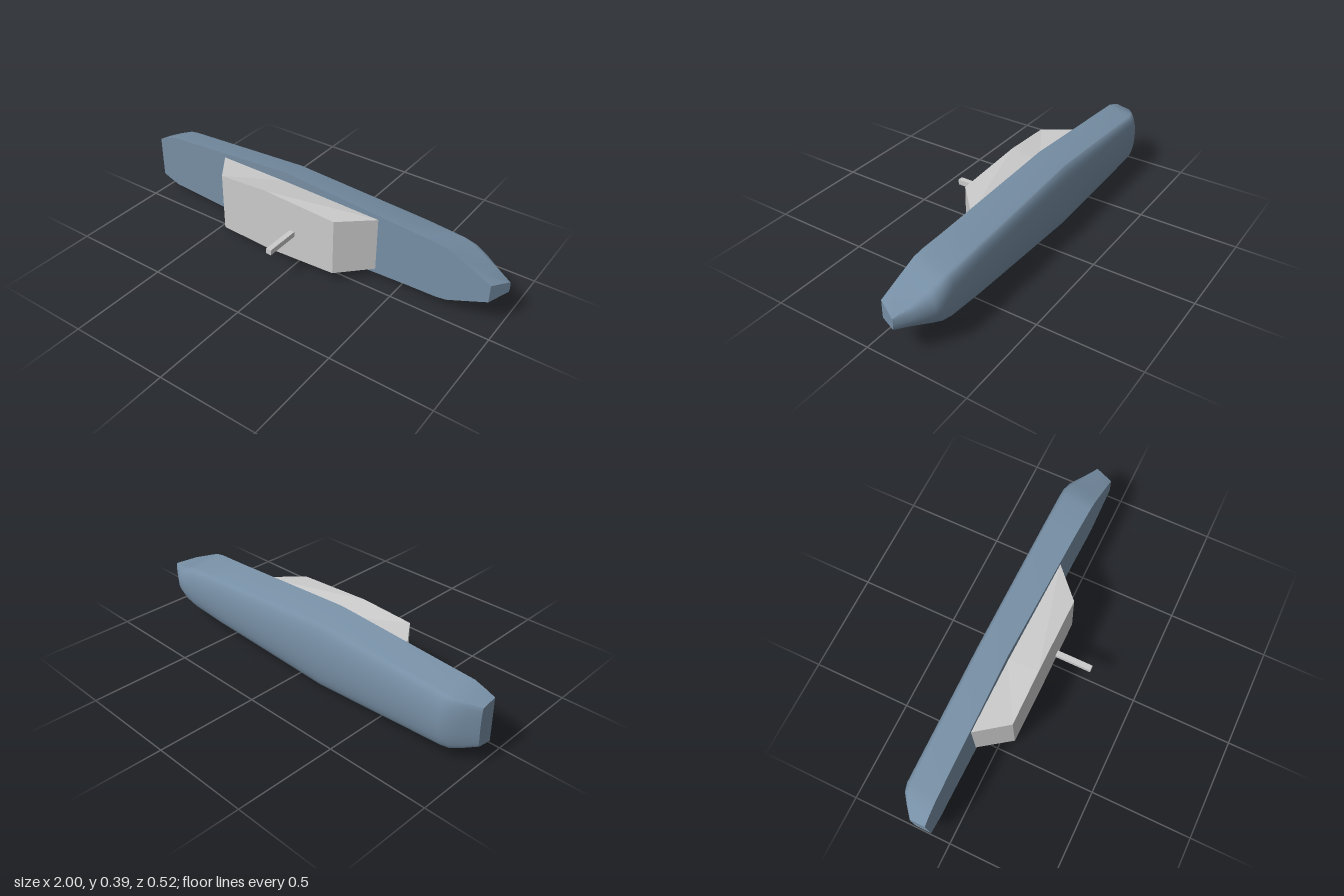
import * as THREE from 'three';
import { toCreasedNormals } from 'three/addons/utils/BufferGeometryUtils.js';

const MID_Y = 0.196;

// Skin a row of closed rings of [x, y, z] points and cap both ends.
function loft(rings, crease) {
  const n = rings[0].length;
  const index = [];
  for (let i = 0; i < rings.length - 1; i++) {
    for (let j = 0; j < n; j++) {
      const a = i * n + j, b = i * n + (j + 1) % n;
      index.push(a, a + n, b + n, a, b + n, b);
    }
  }
  const last = (rings.length - 1) * n;
  for (let j = 1; j < n - 1; j++) {
    index.push(0, j, j + 1, last, last + j + 1, last + j);
  }
  const geometry = new THREE.BufferGeometry();
  geometry.setAttribute('position', new THREE.Float32BufferAttribute(rings.flat(2), 3));
  geometry.setIndex(index);
  return toCreasedNormals(geometry, crease);
}

// Hull cross-section: flat deck, leaning side, knuckle, then a rounded bilge.
function hullRing([deckX, keelX, deckHalf, knuckleHalf, deckZ, knuckleZ, keelZ]) {
  const steps = 16;
  const ring = [[deckX, MID_Y + deckHalf, deckZ]];
  for (let k = 0; k <= steps; k++) {
    const t = Math.PI * k / steps;
    const z = knuckleZ + (keelZ - knuckleZ) * Math.sin(t);
    const x = deckX + (keelX - deckX) * (z - deckZ) / (keelZ - deckZ);
    ring.push([x, MID_Y + knuckleHalf * Math.cos(t), z]);
  }
  ring.push([deckX, MID_Y - deckHalf, deckZ]);
  return ring;
}

// Deckhouse cross-section, standing on the deck.
function houseRing([topX, baseX, topHalf, baseHalf, baseZ]) {
  const topZ = 0.065;
  return [
    [topX, MID_Y + topHalf, topZ], [baseX, MID_Y + baseHalf, baseZ],
    [baseX, MID_Y - baseHalf, baseZ], [topX, MID_Y - topHalf, topZ],
  ];
}

export function createModel() {
  const model = new THREE.Group();
  const grey = new THREE.MeshStandardMaterial({ color: 0xcccccc });
  const blue = new THREE.MeshStandardMaterial({ color: 0x778fa5 });
  const add = (name, geometry, material) => {
    const mesh = new THREE.Mesh(geometry, material);
    mesh.name = name;
    model.add(mesh);
    return mesh;
  };

  // Hull stations from stern to bow
  const stations = [
    [-1.00, -1.00, 0.108, 0.095, -0.086, -0.160, -0.168],
    [-0.95, -0.95, 0.129, 0.112, -0.087, -0.191, -0.212],
    [-0.90, -0.90, 0.146, 0.126, -0.087, -0.216, -0.250],
    [-0.86, -0.86, 0.149, 0.129, -0.088, -0.220, -0.262],
    [-0.17, -0.17, 0.195, 0.166, -0.088, -0.221, -0.262],
    [0.54, 0.54, 0.153, 0.127, -0.072, -0.222, -0.262],
    [0.70, 0.74, 0.144, 0.112, -0.066, -0.218, -0.262],
    [0.75, 0.80, 0.135, 0.100, -0.064, -0.210, -0.262],
    [0.80, 0.85, 0.113, 0.080, -0.062, -0.195, -0.251],
    [0.88, 0.93, 0.077, 0.050, -0.059, -0.173, -0.201],
    [0.95, 1.00, 0.045, 0.027, -0.056, -0.152, -0.155],
  ];
  add('hull', loft(stations.map(hullRing), 0.5), blue);

  // Deckhouse with sloping ends, widest amidships
  const houseStations = [
    [-0.44, -0.555, 0.153, 0.147, -0.095],
    [-0.17, -0.17, 0.167, 0.143, -0.095],
    [0.22, 0.375, 0.147, 0.140, -0.080],
  ];
  add('deckhouse', loft(houseStations.map(houseRing), 0.05), grey);

  // Mast floating just clear of the roof
  add('mast', new THREE.BoxGeometry(0.027, 0.027, 0.181), grey)
    .position.set(-0.003, MID_Y, 0.1715);

  return model;
}
